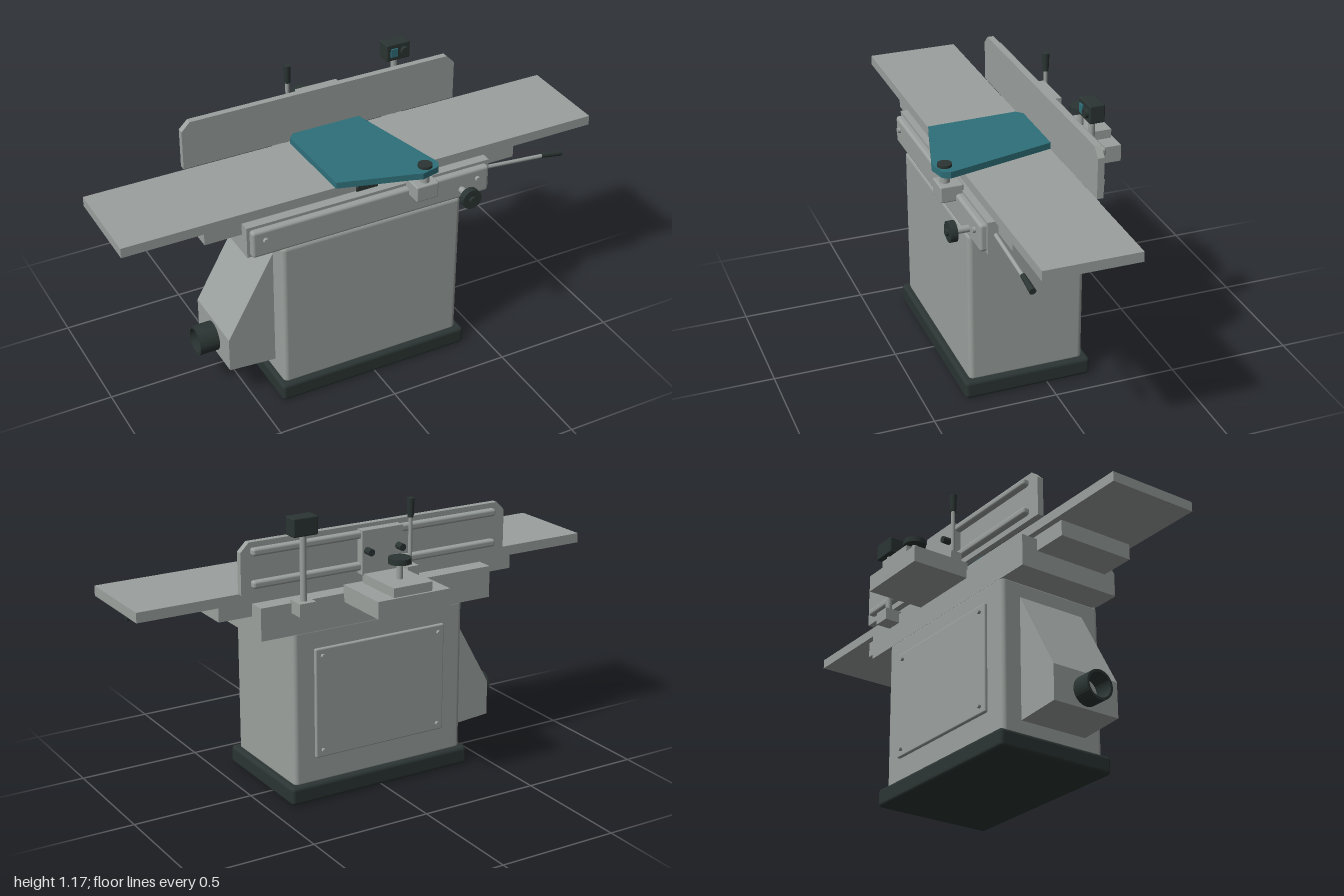
import * as THREE from 'three';
import { RoundedBoxGeometry } from 'three/addons/geometries/RoundedBoxGeometry.js';

const paint = (name, color) => Object.assign(new THREE.MeshStandardMaterial({ color }), { name });

export function createModel() {
  const root = new THREE.Group();
  root.name = 'jointer';
  const grey = paint('machine grey', 0x9ba19e);
  const dark = paint('dark rubber', 0x2b3533);
  const teal = paint('guard teal', 0x2f707a);

  const add = (name, geometry, material) => {
    const mesh = new THREE.Mesh(geometry, material);
    mesh.name = name;
    root.add(mesh);
    return mesh;
  };
  // Box given by its extents on each axis; r rounds the edges
  const box = (name, mat, [x0, x1], [y0, y1], [z0, z1], r = 0) => {
    const size = [x1 - x0, y1 - y0, z1 - z0];
    const geo = r ? new RoundedBoxGeometry(...size, 3, r) : new THREE.BoxGeometry(...size);
    add(name, geo, mat).position.set((x0 + x1) / 2, (y0 + y1) / 2, (z0 + z1) / 2);
  };
  // Cylinder running between two points
  const rod = (name, mat, from, to, r, r2 = r, sides = 28) => {
    const a = new THREE.Vector3(...from), b = new THREE.Vector3(...to);
    const mesh = add(name, new THREE.CylinderGeometry(r2, r, a.distanceTo(b), sides), mat);
    mesh.position.copy(a).add(b).multiplyScalar(0.5);
    mesh.quaternion.setFromUnitVectors(new THREE.Vector3(0, 1, 0), b.sub(a).normalize());
  };
  // Flat outline pushed out along z
  const slab = (points, depth) => new THREE.ExtrudeGeometry(
    new THREE.Shape(points.map(([x, y]) => new THREE.Vector2(x, y))),
    { depth, bevelEnabled: false });

  // Cabinet on its plinth
  box('plinth', dark, [-0.41, 0.41], [0, 0.075], [-0.18, 0.34], 0.015);
  box('cabinet', grey, [-0.39, 0.385], [0.06, 0.71], [-0.155, 0.315], 0.02);
  box('rearPanel', grey, [-0.295, 0.295], [0.175, 0.625], [-0.168, -0.15], 0.006);
  for (const x of [-0.265, 0.265]) for (const y of [0.205, 0.595])
    rod('panelScrew', grey, [x, y, -0.16], [x, y, -0.18], 0.008);

  // Dust chute with a hollow outlet
  const chute = slab([[-0.38, 0.13], [-0.38, 0.655], [-0.585, 0.29], [-0.585, 0.145]], 0.3);
  add('dustChute', chute, grey).position.z = -0.07;
  const pipe = new THREE.LatheGeometry(
    [[0.05, 0], [0.06, 0], [0.06, 0.085], [0.05, 0.085], [0.05, 0]].map((p) => new THREE.Vector2(...p)), 32);
  const outlet = add('dustOutlet', pipe.toNonIndexed(), dark);
  outlet.geometry.computeVertexNormals();
  outlet.rotation.z = Math.PI / 2;
  outlet.position.set(-0.58, 0.215, 0.08);

  // Main body, front plate and table supports
  box('body', grey, [-0.52, 0.52], [0.695, 0.825], [-0.155, 0.287]);
  box('frontPlate', grey, [-0.508, 0.508], [0.7, 0.813], [0.27, 0.312], 0.012);
  for (const x of [-0.455, 0.455])
    rod('plateScrew', grey, [x, 0.77, 0.3], [x, 0.77, 0.324], 0.011);

  // Tables either side of the cutter gap
  for (const [side, inner, support] of [[-1, 0.055, 0.67], [1, 0.05, 0.66]]) {
    const span = (a, b) => [side * a, side * b].sort((p, q) => p - q);
    box('tableSupport', grey, span(inner, support), [0.775, 0.842], [-0.085, 0.245]);
    box('table', grey, span(inner, 1), [0.84, 0.88], [-0.11, 0.268]);
  }
  rod('cutterHead', dark, [0, 0.82, -0.1], [0, 0.82, 0.255], 0.047);

  // Fence with two stiffening rails
  const fence = slab([[-0.595, 0.882], [0.59, 0.882], [0.59, 1.045], [0.555, 1.08],
    [-0.56, 1.08], [-0.595, 1.045]], 0.026);
  add('fence', fence, grey).position.z = -0.136;
  for (const y of [0.92, 1.045])
    box('fenceRail', grey, [-0.54, 0.55], [y - 0.015, y + 0.015], [-0.162, -0.13], 0.01);

  // Fence carriage behind the body
  box('carriageBase', grey, [-0.16, 0.16], [0.79, 0.858], [-0.4, -0.15]);
  box('carriageSlide', grey, [-0.085, 0.085], [0.85, 0.895], [-0.39, -0.165]);
  box('carriagePlate', grey, [-0.09, 0.09], [0.89, 1.065], [-0.175, -0.135]);
  for (const x of [-0.07, 0.07])
    rod('carriageBolt', dark, [x, 0.985, -0.17], [x, 0.985, -0.21], 0.014);
  rod('lockStem', grey, [0, 0.89, -0.295], [0, 0.96, -0.295], 0.012);
  rod('lockKnob', dark, [0, 0.957, -0.295], [0, 0.979, -0.295], 0.045);

  // Fence tilt handle
  box('tiltBlock', grey, [-0.14, -0.09], [0.85, 0.905], [-0.215, -0.165]);
  rod('tiltRod', grey, [-0.115, 0.9, -0.19], [-0.115, 1.11, -0.19], 0.008);
  rod('tiltGrip', dark, [-0.115, 1.095, -0.19], [-0.115, 1.17, -0.19], 0.012, 0.015);

  // Switch box on its post
  box('postFoot', grey, [0.32, 0.39], [0.785, 0.837], [-0.22, -0.145]);
  rod('switchPost', grey, [0.355, 0.83, -0.185], [0.355, 1.1, -0.185], 0.013);
  box('switchBox', dark, [0.305, 0.41], [1.093, 1.166], [-0.215, -0.153], 0.006);
  box('startButton', teal, [0.322, 0.352], [1.112, 1.147], [-0.16, -0.147]);
  rod('stopButton', dark, [0.383, 1.13, -0.16], [0.383, 1.13, -0.14], 0.018);

  // Table height lever
  rod('leverRod', grey, [0.5, 0.771, 0.255], [0.8, 0.744, 0.255], 0.008);
  rod('leverGrip', dark, [0.79, 0.747, 0.255], [0.885, 0.734, 0.255], 0.01, 0.013);

  // Front handwheel
  rod('wheelShaft', grey, [0.385, 0.74, 0.3], [0.385, 0.74, 0.37], 0.014);
  rod('handwheel', dark, [0.385, 0.74, 0.366], [0.385, 0.74, 0.394], 0.041);
  rod('wheelHub', dark, [0.385, 0.74, 0.39], [0.385, 0.74, 0.404], 0.014);

  // Swinging cutter guard and its pivot (outline is x, z)
  const outline = [[-0.16, -0.08], [-0.135, -0.105], [0.155, -0.105], [0.26, 0.335], [0.245, 0.365],
    [0.17, 0.382], [0.135, 0.37], [-0.15, 0.288]];
  const guard = slab(outline.map(([x, z]) => [x, -z]), 0.026);
  guard.rotateX(-Math.PI / 2);
  add('guard', guard, teal).position.y = 0.89;
  box('pivotBlock', grey, [0.15, 0.245], [0.783, 0.85], [0.28, 0.372], 0.006);
  rod('pivotStem', grey, [0.2, 0.84, 0.34], [0.2, 0.895, 0.34], 0.019);
  rod('pivotCap', dark, [0.2, 0.91, 0.34], [0.2, 0.927, 0.34], 0.028);

  return root;
}
